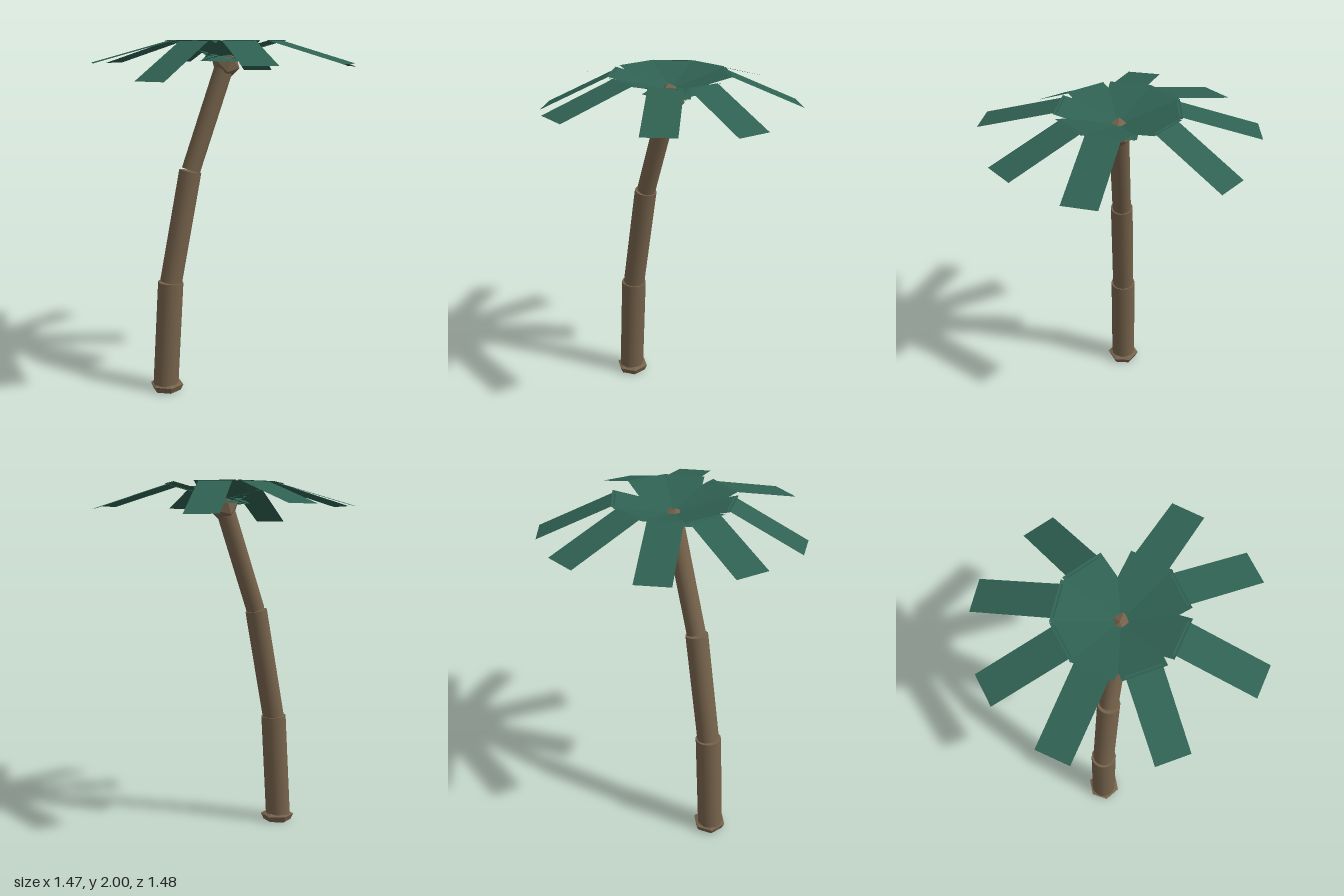
import * as THREE from 'three';

const bark = new THREE.MeshStandardMaterial({ color: 0x75624b, flatShading: false });
bark.name = 'bark brown';
const leaf = new THREE.MeshStandardMaterial({ color: 0x2f6152, side: THREE.DoubleSide });
leaf.name = 'leaf green';

// Flat strip running outward along +x from (r0, y0) to (r1, y1)
function strip(name, r0, y0, r1, y1, width) {
  const g = new THREE.PlaneGeometry(Math.hypot(r1 - r0, y1 - y0), width);
  g.rotateX(-Math.PI / 2);
  g.rotateZ(Math.atan2(y1 - y0, r1 - r0));
  g.translate((r0 + r1) / 2, (y0 + y1) / 2, 0);
  const mesh = new THREE.Mesh(g, leaf);
  mesh.name = name;
  return mesh;
}

// Round trunk piece between two points in the x-y plane
function trunkPiece(name, x0, y0, x1, y1, r) {
  const mesh = new THREE.Mesh(
    new THREE.CylinderGeometry(r, r, Math.hypot(x1 - x0, y1 - y0), 16), bark);
  mesh.position.set((x0 + x1) / 2, (y0 + y1) / 2, 0);
  mesh.rotation.z = -Math.atan2(x1 - x0, y1 - y0);
  mesh.name = name;
  return mesh;
}

export function createModel() {
  const palm = new THREE.Group();
  palm.name = 'palmTree';

  // Leaning trunk in three narrowing pieces
  palm.add(
    trunkPiece('lowerTrunk', -0.368, 0.01, -0.33, 0.645, 0.073),
    trunkPiece('middleTrunk', -0.328, 0.645, -0.208, 1.28, 0.063),
    trunkPiece('upperTrunk', -0.204, 1.285, -0.005, 1.86, 0.053));

  // Faceted foot
  const footProfile = [[0, 0], [0.082, 0], [0.098, 0.035], [0.06, 0.05], [0, 0.05]]
    .map(([x, y]) => new THREE.Vector2(x, y));
  const footGeo = new THREE.LatheGeometry(footProfile, 6).toNonIndexed();
  footGeo.computeVertexNormals();
  const foot = new THREE.Mesh(footGeo, bark);
  foot.position.x = -0.36;
  foot.name = 'foot';
  palm.add(foot);

  // Faceted knob under the leaves
  const knob = new THREE.Mesh(new THREE.IcosahedronGeometry(0.08, 0), bark);
  knob.position.set(0.003, 1.868, 0);
  knob.rotation.z = -0.3;
  knob.name = 'crownKnob';
  palm.add(knob);

  // Fronds: [heading in degrees, tip radius, tip height]
  const fronds = [
    [9.8, 0.73, 1.855], [47, 0.73, 1.88], [95.5, 0.733, 1.88], [141.4, 0.697, 1.8],
    [187, 0.733, 1.88], [224.5, 0.728, 1.87], [264.5, 0.733, 1.868], [305.6, 0.713, 1.815],
  ];
  for (const [deg, tipR, tipY] of fronds) {
    const frond = new THREE.Group();
    frond.name = 'frond';
    frond.add(
      strip('innerLeaf', -0.1, 1.888, 0.318, 2, 0.225),
      strip('outerLeaf', 0.3, 2, tipR, tipY, 0.182));
    frond.rotation.y = -THREE.MathUtils.degToRad(deg);
    palm.add(frond);
  }
  return palm;
}
